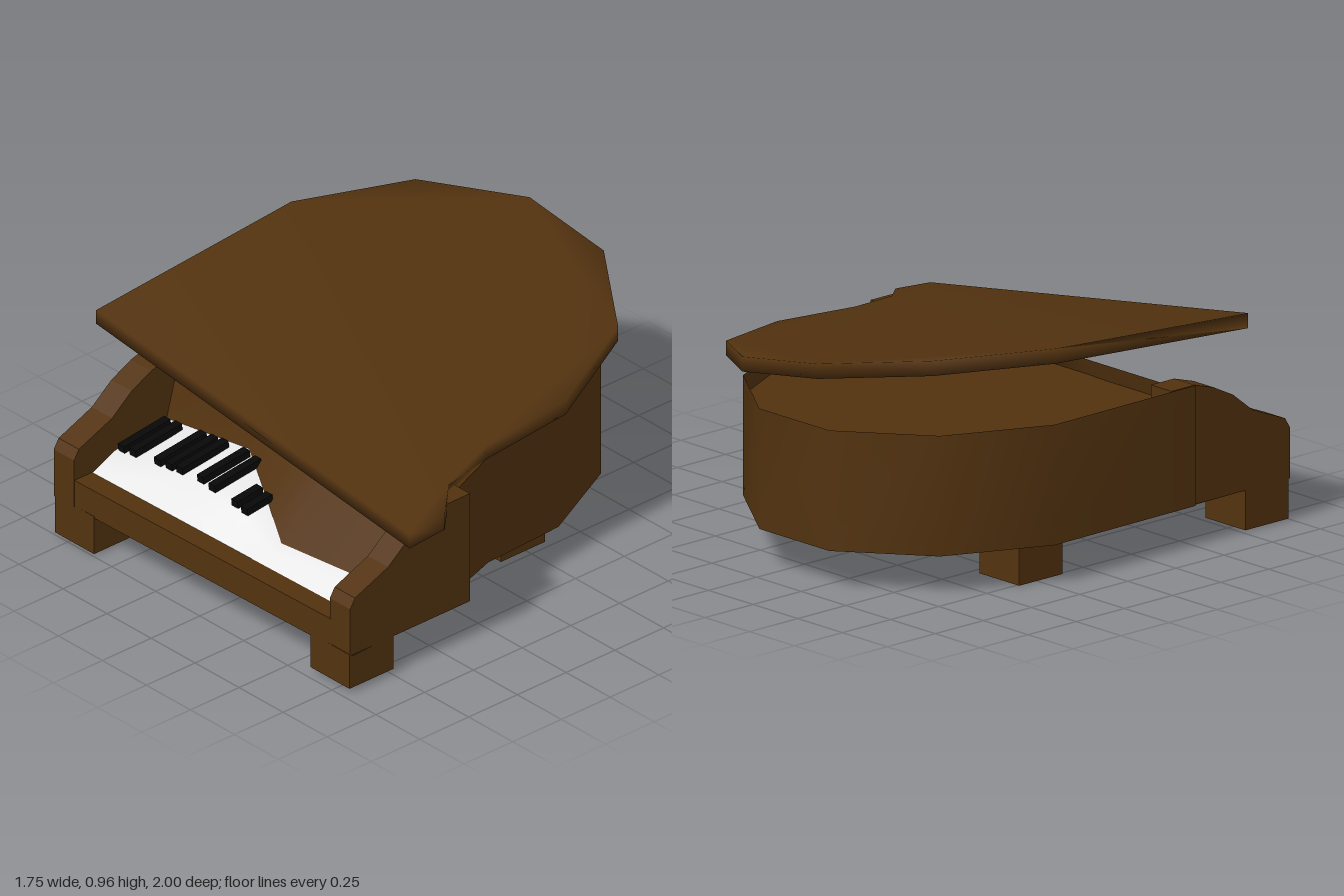
import * as THREE from 'three';
import { mergeVertices } from 'three/addons/utils/BufferGeometryUtils.js';

const wood = new THREE.MeshStandardMaterial({ color: 0x52320f, side: THREE.DoubleSide });
wood.name = 'brown wood';
const ivory = new THREE.MeshStandardMaterial({ color: 0xf5f5f5, side: THREE.DoubleSide });
ivory.name = 'white keys';
const ebony = new THREE.MeshStandardMaterial({ color: 0x080808 });
ebony.name = 'black keys';

function part(parent, name, geometry, material) {
  const mesh = new THREE.Mesh(geometry, material);
  mesh.name = name;
  parent.add(mesh);
  return mesh;
}

// Surface through rows of points, smooth across the grid
function loft(rows) {
  const n = rows[0].length, index = [];
  for (let r = 0; r < rows.length - 1; r++) {
    for (let i = 0; i < n - 1; i++) {
      const a = r * n + i, b = a + n;
      index.push(a, a + 1, b + 1, a, b + 1, b);
    }
  }
  const g = new THREE.BufferGeometry();
  g.setAttribute('position', new THREE.Float32BufferAttribute(rows.flat(2), 3));
  g.setIndex(index);
  g.computeVertexNormals();
  return g;
}

const shapeOf = (points) => new THREE.Shape(points.map(([a, b]) => new THREE.Vector2(a, b)));

export function createModel() {
  const piano = new THREE.Group();
  piano.name = 'grandPiano';

  // Case: curved side wall from the right-hand edge round the tail, as [x, z]
  const outline = [
    [0.8, 0.5], [0.72, 0.34], [0.64, 0.1], [0.62, -0.28], [0.43, -0.67], [0.07, -0.92],
    [-0.32, -0.92], [-0.66, -0.66], [-0.85, -0.24], [-0.84, 0.5],
  ];
  part(piano, 'caseWall', loft([0.16, 0.64].map((y) => outline.map(([x, z]) => [x, y, z]))), wood);

  const floor = new THREE.ShapeGeometry(shapeOf([...outline, [-0.83, 0.99], [0.82, 0.96]]));
  part(piano, 'caseFloor', floor.rotateX(Math.PI / 2).translate(0, 0.165, 0), wood);

  const deck = new THREE.ShapeGeometry(shapeOf(outline.map(([x, z]) => [x, -z])));
  part(piano, 'soundboard', deck.rotateX(-Math.PI / 2).translate(0, 0.56, 0), wood);

  // Cheeks either side of the keyboard, profile as [z, y]
  const cheek = [
    [0.995, 0.165], [0.995, 0.37], [0.97, 0.41], [0.8, 0.48], [0.7, 0.56],
    [0.6, 0.61], [0.5, 0.64], [0.38, 0.64], [0.38, 0.165],
  ];
  for (const [name, outer, shift] of [['leftCheek', 0.815, -0.03], ['rightCheek', -0.72, 0]]) {
    const g = new THREE.ExtrudeGeometry(shapeOf(cheek), { depth: 0.115, bevelEnabled: false });
    part(piano, name, g.rotateY(-Math.PI / 2).translate(outer, 0, shift), wood);
  }

  // Front rail below the keys
  const rail = part(piano, 'frontRail', new THREE.BoxGeometry(1.44, 0.12, 0.09), wood);
  rail.position.set(-0.01, 0.222, 0.935);
  rail.rotation.y = 0.018;

  // Wavy keyboard, front to back
  const xs = [-0.73, -0.25, 0.02, 0.22, 0.71];
  const midY = [0.33, 0.4, 0.36, 0.315, 0.33];
  const midZ = [0.79, 0.79, 0.79, 0.83, 0.8];
  const backY = [0.37, 0.44, 0.385, 0.33, 0.355];
  const backZ = [0.52, 0.52, 0.67, 0.78, 0.75];
  const back = xs.map((x, i) => [x, backY[i], backZ[i]]);
  part(piano, 'whiteKeys', loft([
    xs.map((x) => [x, 0.275, 0.893 - 0.018 * x]),
    xs.map((x, i) => [x, midY[i], midZ[i]]),
    back,
  ]), ivory);

  // Fallboard rising from the back of the keys
  part(piano, 'fallboard', loft([back, xs.map((x) => [x, 0.63, 0.45])]), wood);

  // Black keys in groups of two and three, following the wave
  const keys = new THREE.Group();
  keys.name = 'blackKeys';
  piano.add(keys);
  for (const x of [-0.68, -0.615, -0.475, -0.41, -0.35, -0.23, -0.165, -0.035, 0.02]) {
    const t = x < -0.25 ? (x + 0.73) / 0.48 : 1 - (x + 0.25) / 0.27;
    const y = x < -0.25 ? 0.33 + 0.07 * t : 0.36 + 0.04 * t;
    const length = x < -0.1 ? 0.24 : 0.13;
    const key = part(keys, 'blackKey', new THREE.BoxGeometry(0.036, 0.03, length), ebony);
    key.position.set(x, y + 0.037, 0.79 - length / 2);
    key.rotation.x = 0.12;
  }

  // Lid: outline extruded, then tilted up to the bass side and the tail
  const lidOutline = [
    [-0.86, 0.755], [-0.875, -0.26], [-0.68, -0.72], [-0.33, -0.99], [0.08, -1], [0.45, -0.74],
    [0.65, -0.29], [0.66, 0.13], [0.74, 0.39], [0.87, 0.53], [0.87, 0.71],
  ];
  let lid = new THREE.ExtrudeGeometry(shapeOf(lidOutline.map(([x, z]) => [x, -z])),
    { depth: 0.06, bevelEnabled: false }).rotateX(-Math.PI / 2);
  const p = lid.attributes.position;
  for (let i = 0; i < p.count; i++) {
    p.setY(i, p.getY(i) + 0.743 - 0.15 * p.getX(i) - 0.07 * p.getZ(i));
  }
  lid.deleteAttribute('normal');
  lid.deleteAttribute('uv');
  lid = mergeVertices(lid);
  lid.computeVertexNormals();
  part(piano, 'lid', lid, wood);

  // Four stout legs: centre x, centre z, foot height
  const legs = [
    ['frontRightLeg', -0.72, 0.88, 0.005], ['frontLeftLeg', 0.703, 0.855, 0.02],
    ['backRightLeg', -0.65, -0.23, 0], ['backLeftLeg', 0.362, -0.23, 0.005],
  ];
  for (const [name, x, z, foot] of legs) {
    const leg = part(piano, name, new THREE.BoxGeometry(0.222, 0.17 - foot, 0.225), wood);
    leg.position.set(x, (0.17 + foot) / 2, z);
  }

  return piano;
}
